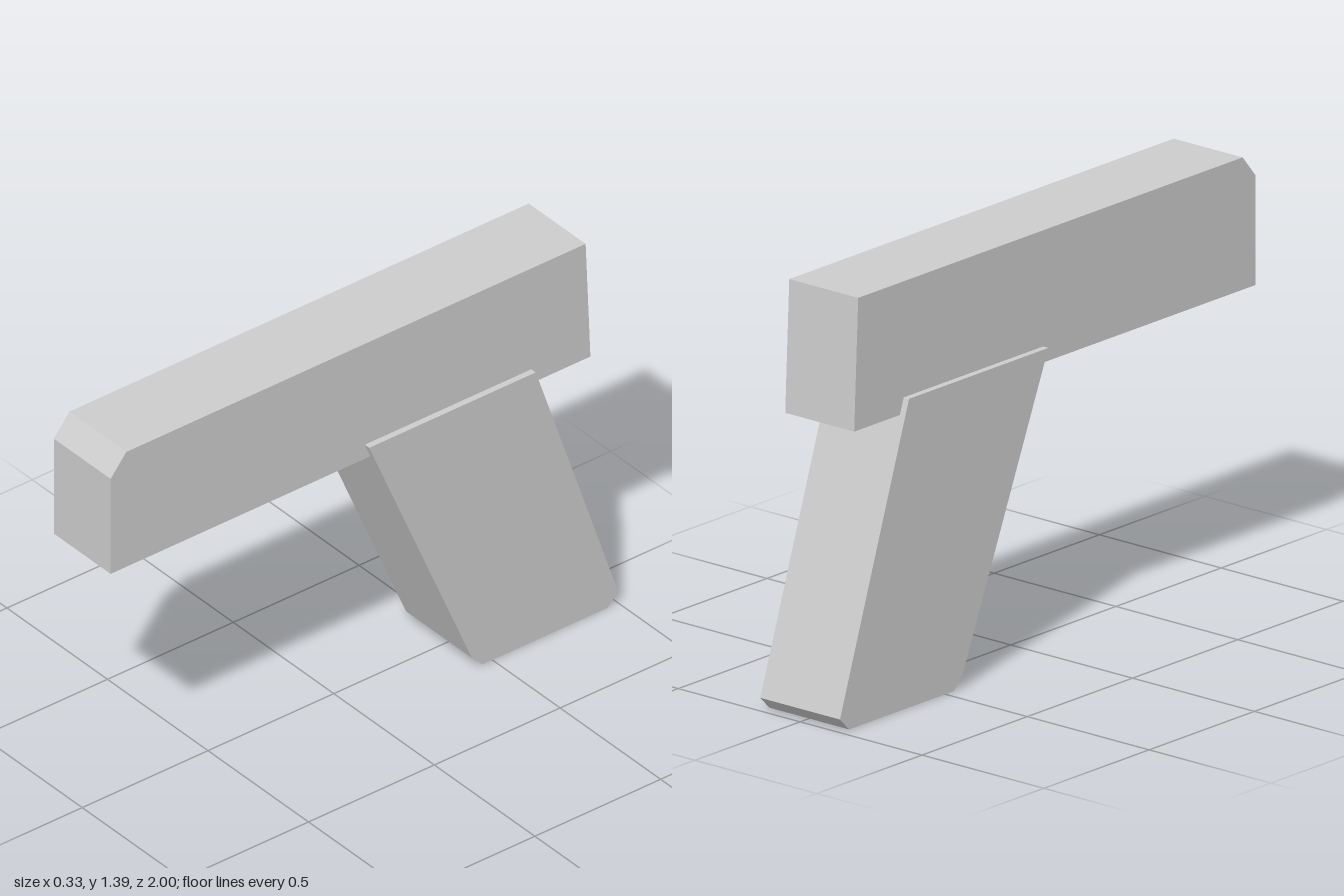
import * as THREE from 'three';

const lightGrey = new THREE.MeshStandardMaterial({ color: 0xcccccc });
lightGrey.name = 'light grey';

// Side outline given as [z, y] points, extruded across x and centred
function slab(name, outline, width) {
  const shape = new THREE.Shape(outline.map(([z, y]) => new THREE.Vector2(z, y)));
  const geometry = new THREE.ExtrudeGeometry(shape, { depth: width, bevelEnabled: false });
  geometry.translate(0, 0, -width / 2).rotateY(-Math.PI / 2);
  const mesh = new THREE.Mesh(geometry, lightGrey);
  mesh.name = name;
  return mesh;
}

export function createModel() {
  const model = new THREE.Group();
  model.name = 'model';

  // Long upper bar with a chamfered front top edge and slightly sloped back
  model.add(slab('upperBar', [
    [-0.907, 0.957], [1, 0.957], [1, 1.315], [0.938, 1.39], [-0.888, 1.39],
  ], 0.283));

  // Raked grip, wider than the bar, with chamfered lower edges
  model.add(slab('grip', [
    [-0.957, 0], [-0.46, 0], [-0.418, 0.043], [-0.01, 1.01], [-0.672, 1.01], [-1, 0.043],
  ], 0.327));

  return model;
}
